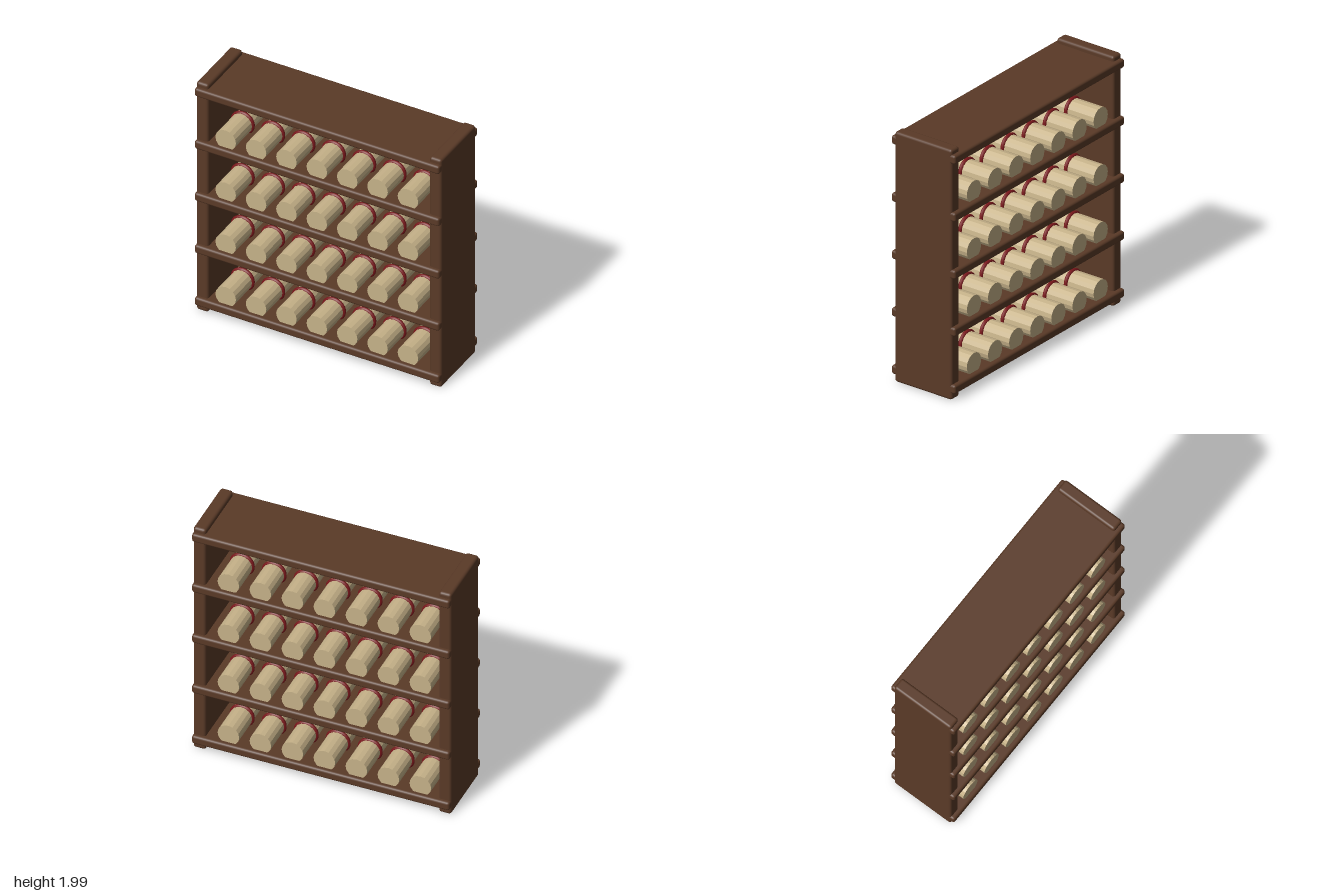
import * as THREE from 'three';
import { RoundedBoxGeometry } from 'three/addons/geometries/RoundedBoxGeometry.js';

const wood = new THREE.MeshStandardMaterial({ color: 0x5a3a27 });
wood.name = 'dark wood';
const parchment = new THREE.MeshStandardMaterial({ color: 0xc6b289 });
parchment.name = 'parchment';
const ribbon = new THREE.MeshStandardMaterial({ color: 0x7a171b });
ribbon.name = 'red ribbon';

const SHELF_Y = [0.088, 0.544, 0.999, 1.455, 1.911];

function add(parent, name, geometry, material, x, y, z) {
  const mesh = new THREE.Mesh(geometry, material);
  mesh.name = name;
  mesh.position.set(x, y, z);
  parent.add(mesh);
  return mesh;
}

export function createModel() {
  const rack = new THREE.Group();
  rack.name = 'scrollRack';

  // Upright side panels
  const panel = new RoundedBoxGeometry(0.097, 1.985, 0.51, 2, 0.02);
  add(rack, 'leftPanel', panel, wood, 0.9515, 0.9925, 0);
  add(rack, 'rightPanel', panel, wood, -0.9515, 0.9925, 0);

  // Shelves, a little deeper than the side panels
  const board = new RoundedBoxGeometry(1.998, 0.07, 0.572, 2, 0.018);
  SHELF_Y.forEach((y, i) => add(rack, 'shelf' + (i + 1), board, wood, 0, y, 0));

  // Rolled scrolls with faceted sides, each tied by a ribbon
  const roll = new THREE.CylinderGeometry(0.084, 0.084, 0.5, 16).rotateX(Math.PI / 2).toNonIndexed();
  roll.computeVertexNormals();
  const band = new THREE.TorusGeometry(0.081, 0.016, 8, 28);
  for (let row = 0; row < 4; row++) {
    for (let i = 0; i < 7; i++) {
      const scroll = new THREE.Group();
      scroll.name = 'scroll';
      scroll.position.set(-0.761 + i * 0.248, SHELF_Y[row] + 0.1, 0);
      add(scroll, 'paperRoll', roll, parchment, 0, 0, 0);
      add(scroll, 'ribbonBand', band, ribbon, 0, 0, 0);
      rack.add(scroll);
    }
  }
  return rack;
}
